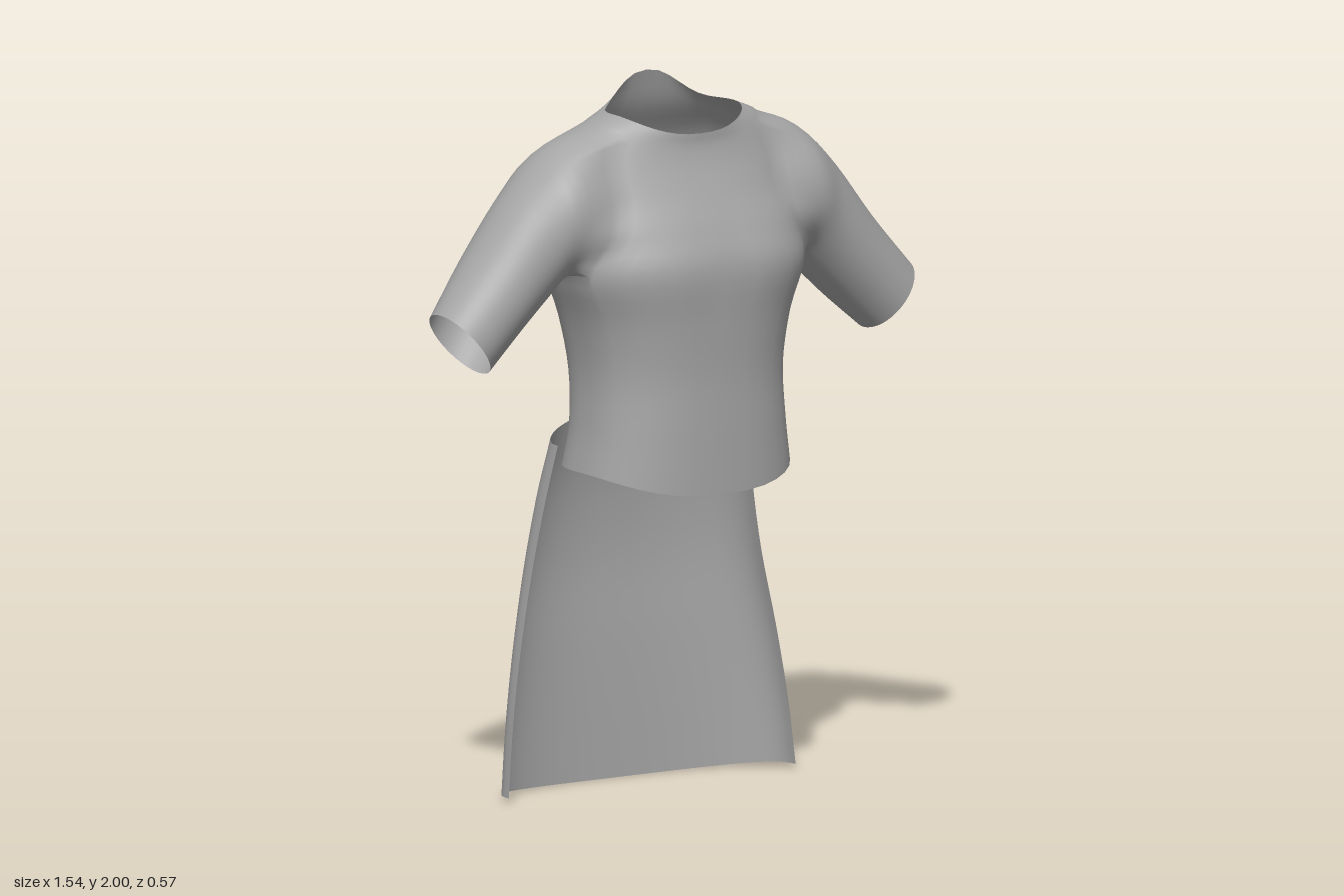
import * as THREE from 'three';

const COLS = 48, SUB = 4, ARM = 6; // columns round the torso, steps per row, half width of the armhole in columns
const cloth = new THREE.MeshStandardMaterial({ color: 0xa6a6a6, side: THREE.DoubleSide });
cloth.name = 'grey cloth';

const spow = (v, n) => Math.sign(v) * Math.pow(Math.abs(v), 2 / n);
const bell = (v, w) => Math.exp(-(v * v) / (w * w));

// Smooth run of points through the control points of one column
function run(points) {
  const curve = new THREE.CatmullRomCurve3(points, false, 'catmullrom', 0.5);
  const steps = (points.length - 1) * SUB;
  return Array.from({ length: steps + 1 }, (_, i) => curve.getPoint(i / steps));
}

// Small mesh builder that joins rows of vertex indices
class Sheet {
  constructor() { this.pos = []; this.index = []; }
  add(p) { this.pos.push(p.x, p.y, p.z); return this.pos.length / 3 - 1; }
  quad(a, b, c, d) { this.index.push(a, c, b, b, c, d); }
  mesh(name) {
    const g = new THREE.BufferGeometry();
    g.setAttribute('position', new THREE.Float32BufferAttribute(this.pos, 3));
    g.setIndex(this.index);
    g.computeVertexNormals();
    const m = new THREE.Mesh(g, cloth);
    m.name = name;
    return m;
  }
}

// Torso rows, hem to neck: y side, y front, y back, half width, z front, z back, roundness, armhole half angle
const torsoRows = [
  [0.93, 0.87, 0.945, 0.325, 0.262, -0.2, 2.5, 25],
  [1.05, 1.05, 1.05, 0.306, 0.262, -0.186, 2.5, 25],
  [1.2, 1.2, 1.2, 0.3, 0.262, -0.202, 2.5, 25],
  [1.35, 1.35, 1.35, 0.325, 0.274, -0.228, 2.5, 25],
  [1.49, 1.5, 1.49, 0.372, 0.289, -0.25, 2.5, 22],
  [1.6, 1.6, 1.6, 0.372, 0.252, -0.26, 2.5, 42],
  [1.7, 1.69, 1.7, 0.368, 0.207, -0.247, 2.3, 47],
  [1.8, 1.77, 1.8, 0.345, 0.172, -0.205, 2.2, 42],
  [1.88, 1.825, 1.9, 0.275, 0.156, -0.145, 2.2, 35],
  [1.915, 1.862, 2.0, 0.2, 0.155, -0.115, 2.3, 35],
];
const ARM_LOW = 4 * SUB, ARM_HIGH = 8 * SUB;

// Sleeve rings: top x, y, bottom x, y, z front, z back
const sleeveRings = [
  [0.4, 1.83, 0.395, 1.465, 0.165, -0.177],
  [0.52, 1.72, 0.44, 1.415, 0.14, -0.157],
  [0.645, 1.56, 0.53, 1.33, 0.13, -0.145],
  [0.77, 1.41, 0.635, 1.235, 0.125, -0.1],
];

function torsoPoint([yS, yF, yB, w, zF, zB, n, arm], j) {
  const k = ((j + 12) % 24) - 12, a = Math.abs(k);
  const deg = a <= ARM ? (a / ARM) * arm : arm + ((a - ARM) / (12 - ARM)) * (90 - arm);
  const phi = Math.floor((j + 12) / 24) * Math.PI + Math.sign(k) * THREE.MathUtils.degToRad(deg);
  const c = Math.cos(phi), s = Math.sin(phi);
  const x = w * spow(c, n), mid = (zF + zB) / 2;
  let z = mid + ((zF - zB) / 2) * spow(s, n);
  // Hollows along the spine and between the two sides of the chest
  if (s < 0) z += 0.032 * bell(x, 0.09) * bell(yS - 1.58, 0.2);
  else z -= 0.014 * bell(x, 0.08) * bell(yS - 1.48, 0.12);
  const y = s > 0 ? yS + (yF - yS) * s * s : yS + (yB - yS) * s ** 6;
  return new THREE.Vector3(x, y, z);
}

function makeShirt() {
  const sheet = new Sheet();
  const columns = Array.from({ length: COLS }, (_, j) => run(torsoRows.map((r) => torsoPoint(r, j))));
  const ids = columns.map((col) => col.map((p) => sheet.add(p)));
  const at = (i, j) => ids[(j + COLS) % COLS][i];
  const inArm = (i, j) => i >= ARM_LOW && i < ARM_HIGH && (j + ARM) % 24 < 2 * ARM;

  // Torso with two open armholes
  for (let j = 0; j < COLS; j++)
    for (let i = 0; i < columns[0].length - 1; i++)
      if (!inArm(i, j)) sheet.quad(at(i, j), at(i, j + 1), at(i + 1, j), at(i + 1, j + 1));

  // Sleeves grown out of the armhole edges
  for (const [centre, side] of [[0, 1], [24, -1]]) {
    const loop = [];
    for (let k = -ARM; k < ARM; k++) loop.push([ARM_LOW, centre + k]);
    for (let i = ARM_LOW; i < ARM_HIGH; i++) loop.push([i, centre + ARM]);
    for (let k = ARM; k > -ARM; k--) loop.push([ARM_HIGH, centre + k]);
    for (let i = ARM_HIGH; i > ARM_LOW; i--) loop.push([i, centre - ARM]);
    const lines = loop.map(([i, j]) => {
      const start = columns[(j + COLS) % COLS][i];
      const th = Math.atan2((start.z + 0.005) / 0.18, (start.y - 1.685) / 0.2);
      const u = Math.cos(th), v = Math.sin(th);
      const targets = sleeveRings.map(([tx, ty, bx, by, zF, zB]) => new THREE.Vector3(
        side * ((tx + bx) / 2 + ((tx - bx) / 2) * u),
        (ty + by) / 2 + ((ty - by) / 2) * u,
        (zF + zB) / 2 + ((zF - zB) / 2) * v));
      const pts = run([start, ...targets]);
      return [at(i, j), ...pts.slice(1).map((p) => sheet.add(p))];
    });
    lines.forEach((a, m) => {
      const b = lines[(m + 1) % lines.length];
      for (let k = 0; k < a.length - 1; k++) sheet.quad(a[k], b[k], a[k + 1], b[k + 1]);
    });
  }
  return sheet.mesh('shirt');
}

// Skirt rows, bottom to top: y side, y back, half width, z of the side edges, z back
const skirtRows = [
  [0.015, 0, 0.475, -0.085, -0.26],
  [0.2, 0.2, 0.456, -0.094, -0.266],
  [0.4, 0.4, 0.425, -0.105, -0.274],
  [0.62, 0.62, 0.381, -0.114, -0.285],
  [0.82, 0.84, 0.344, -0.103, -0.272],
  [0.985, 1.04, 0.316, -0.08, -0.23],
];

function makeBackSkirt() {
  const sheet = new Sheet(), n = 2.4, steps = 36;
  const ids = Array.from({ length: steps + 1 }, (_, j) => {
    const phi = Math.PI * (1 + j / steps), c = Math.cos(phi), s = -Math.sin(phi);
    const pts = skirtRows.map(([yS, yB, w, zE, zB]) => new THREE.Vector3(
      w * spow(c, n), yS + (yB - yS) * s * s, zE + (zB - zE) * spow(s, n)));
    return run(pts).map((p) => sheet.add(p));
  });
  for (let j = 0; j < steps; j++)
    for (let i = 0; i < ids[0].length - 1; i++)
      sheet.quad(ids[j][i], ids[j + 1][i], ids[j][i + 1], ids[j + 1][i + 1]);
  return sheet.mesh('backSkirt');
}

export function createModel() {
  const model = new THREE.Group();
  model.name = 'tunic';
  model.add(makeShirt(), makeBackSkirt());
  return model;
}
